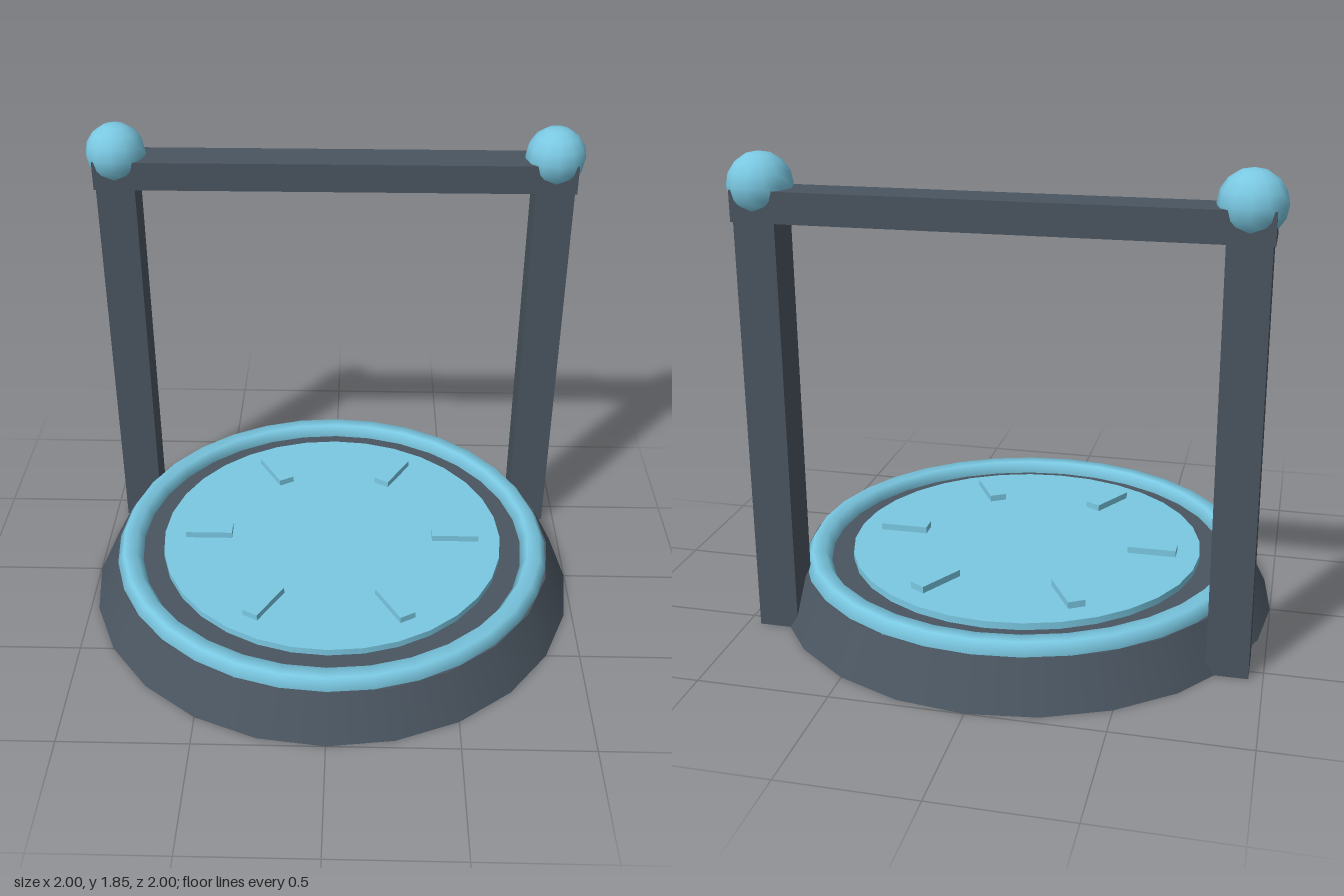
import * as THREE from 'three';

export function createModel() {
  const model = new THREE.Group();
  const slate = new THREE.MeshStandardMaterial({ color: 0x4a5560 });
  slate.name = 'slate';
  const blue = new THREE.MeshStandardMaterial({ color: 0x7ac8e2 });
  blue.name = 'pale blue';

  const add = (name, geometry, material, x, y, z) => {
    const mesh = new THREE.Mesh(geometry, material);
    mesh.name = name;
    mesh.position.set(x, y, z);
    model.add(mesh);
    return mesh;
  };

  // Tapered round platform with a raised rim and inner disc
  add('base', new THREE.CylinderGeometry(0.91, 1, 0.178, 24), slate, 0, 0.089, 0);
  const rim = add('rim', new THREE.TorusGeometry(0.85, 0.053, 6, 32), blue, 0, 0.177, 0);
  rim.rotation.x = -Math.PI / 2;
  add('disc', new THREE.CylinderGeometry(0.71, 0.71, 0.035, 32), blue, 0, 0.188, 0);

  // Six radial markers on the disc
  for (let i = 0; i < 6; i++) {
    const a = (i * Math.PI) / 3;
    const marker = add('marker', new THREE.BoxGeometry(0.195, 0.034, 0.068), blue,
      0.52 * Math.cos(a), 0.215, -0.52 * Math.sin(a));
    marker.rotation.y = a;
  }

  // Gate frame towards the back: two posts, finial balls and a crossbar
  const frameZ = -0.478;
  for (const [side, s] of [['left', 1], ['right', -1]]) {
    add(side + 'Post', new THREE.BoxGeometry(0.155, 1.62, 0.155), slate, s * 0.87, 0.81, frameZ);
    add(side + 'Ball', new THREE.SphereGeometry(0.12, 12, 8), blue, s * 0.87, 1.725, frameZ);
  }
  add('crossbar', new THREE.BoxGeometry(1.91, 0.115, 0.17), slate, 0, 1.6575, frameZ);

  return model;
}
